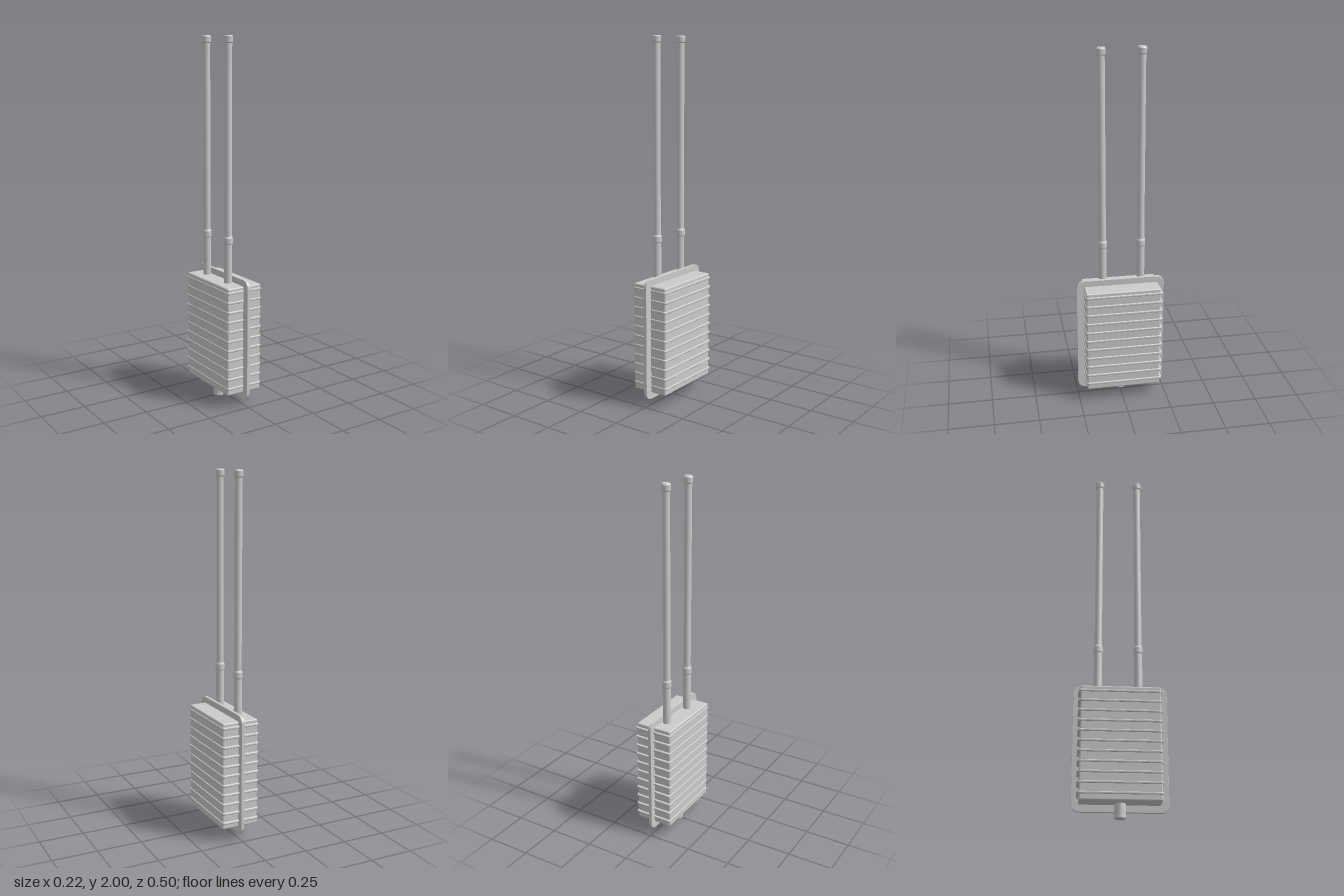
import * as THREE from 'three';
import { RoundedBoxGeometry } from 'three/addons/geometries/RoundedBoxGeometry.js';

const material = new THREE.MeshStandardMaterial({ color: 0xcccccc });

function part(name, geometry, x = 0, y = 0, z = 0) {
  const mesh = new THREE.Mesh(geometry, material);
  mesh.name = name;
  mesh.position.set(x, y, z);
  return mesh;
}

// Rounded rectangle extruded along z, centred, with a small edge bevel
function roundedSlab(w, h, depth, r, bevel) {
  const a = w / 2 - bevel, b = h / 2 - bevel, c = r - bevel;
  const s = new THREE.Shape();
  s.moveTo(a, -b + c);
  s.lineTo(a, b - c);
  s.absarc(a - c, b - c, c, 0, Math.PI / 2);
  s.absarc(-a + c, b - c, c, Math.PI / 2, Math.PI);
  s.absarc(-a + c, -b + c, c, Math.PI, Math.PI * 1.5);
  s.absarc(a - c, -b + c, c, Math.PI * 1.5, Math.PI * 2);
  const g = new THREE.ExtrudeGeometry(s, {
    depth: depth - 2 * bevel, bevelEnabled: true, bevelThickness: bevel,
    bevelSize: bevel, bevelSegments: 3, curveSegments: 8,
  });
  return g.translate(0, 0, bevel - depth / 2);
}

// Turned profile made of straight runs; each run keeps its own crisp edges
function turned(name, profile) {
  const group = new THREE.Group();
  group.name = name;
  for (let i = 0; i < profile.length - 1; i++) {
    const pts = [profile[i], profile[i + 1]].map(([r, y]) => new THREE.Vector2(r, y));
    group.add(part(name + 'Section', new THREE.LatheGeometry(pts, 32)));
  }
  return group;
}

export function createModel() {
  const model = new THREE.Group();
  model.name = 'outdoorRadioUnit';

  // Main housing
  model.add(part('housing', new RoundedBoxGeometry(0.212, 0.605, 0.42, 3, 0.008), -0.002, 0.3775, -0.002));

  // Cooling ribs wrapping around the housing
  const ribGeometry = roundedSlab(0.222, 0.437, 0.014, 0.016, 0.005).rotateX(-Math.PI / 2);
  const ribs = new THREE.Group();
  ribs.name = 'coolingRibs';
  for (let i = 0; i < 11; i++) {
    ribs.add(part('coolingRib', ribGeometry, -0.001, 0.113 + i * 0.054, -0.0055));
  }
  model.add(ribs);

  // Flange between the two housing halves
  const flange = roundedSlab(0.498, 0.677, 0.018, 0.042, 0.001).rotateY(Math.PI / 2);
  model.add(part('flange', flange, 0, 0.3765, 0));

  // Pair of rod antennas with collar and end cap
  const profile = [
    [0, 0.67], [0.022, 0.67], [0.022, 0.895], [0.025, 0.9], [0.025, 0.93], [0.02, 0.94],
    [0.02, 1.96], [0.024, 1.965], [0.025, 1.993], [0.02, 2], [0, 2],
  ];
  for (const z of [0.095, -0.121]) {
    const antenna = turned('antenna', profile);
    antenna.position.set(-0.033, 0, z);
    model.add(antenna);
  }

  // Cable connector underneath
  const connector = turned('cableConnector', [[0, 0], [0.028, 0], [0.03, 0.002], [0.03, 0.08]]);
  connector.position.set(-0.033, 0, -0.002);
  model.add(connector);

  return model;
}
